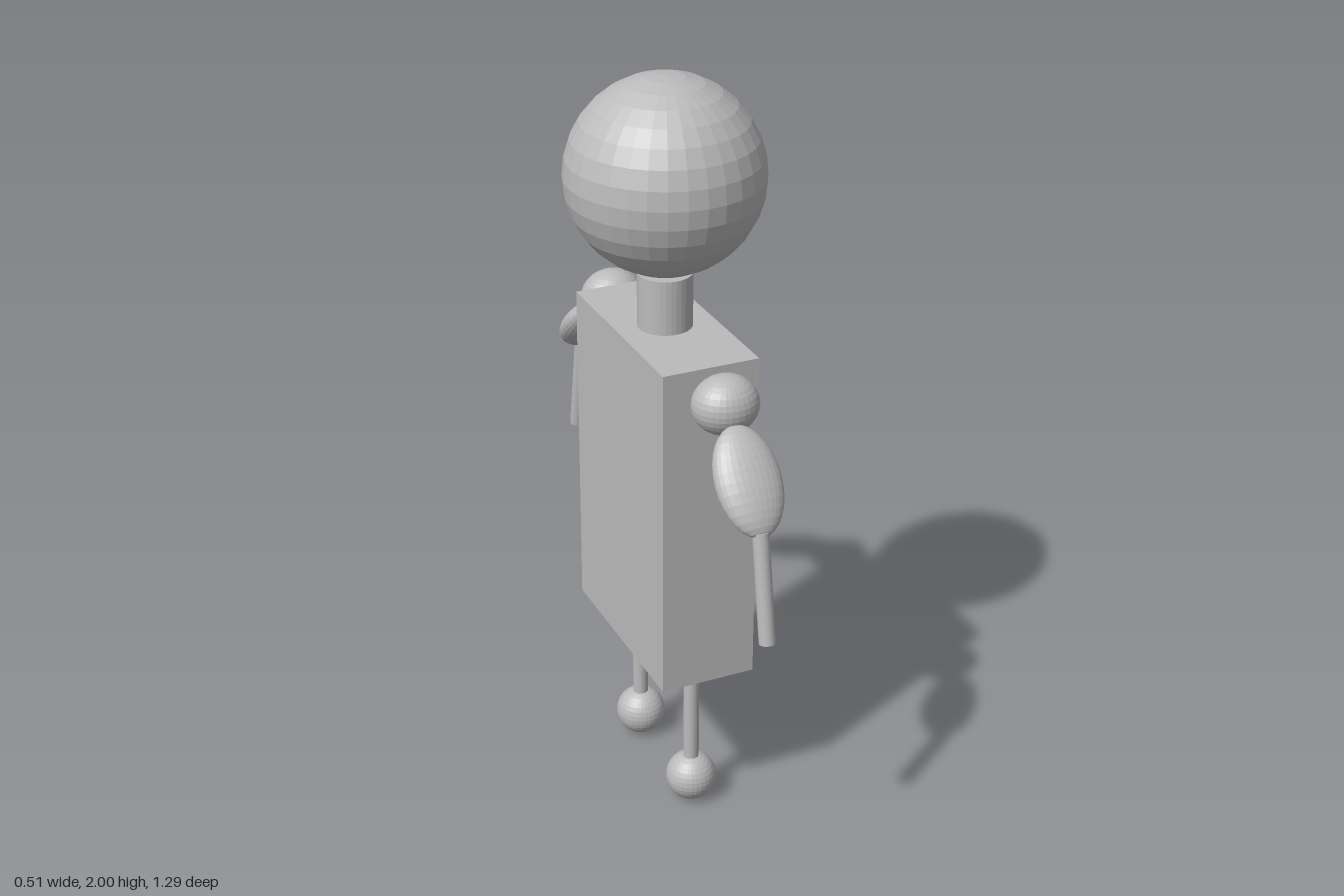
import * as THREE from 'three';

export function createModel() {
  const model = new THREE.Group();
  model.name = 'figure';
  const grey = new THREE.MeshStandardMaterial({ color: 0xbbbbbb, flatShading: true });
  grey.name = 'plain grey';

  const add = (name, geometry, x, y, z, parent = model) => {
    const mesh = new THREE.Mesh(geometry, grey);
    mesh.name = name;
    mesh.position.set(x, y, z);
    parent.add(mesh);
    return mesh;
  };
  const ball = (rx, ry, rz) => new THREE.SphereGeometry(1, 32, 16).scale(rx, ry, rz);

  // Straight round rod between two points
  const rod = (name, from, to, radius, parent) => {
    const a = new THREE.Vector3(...from), b = new THREE.Vector3(...to);
    const mid = a.clone().add(b).multiplyScalar(0.5);
    const mesh = add(name, new THREE.CylinderGeometry(radius, radius, a.distanceTo(b), 32), mid.x, mid.y, mid.z, parent);
    mesh.quaternion.setFromUnitVectors(new THREE.Vector3(0, 1, 0), a.sub(b).normalize());
  };

  // Head, neck and body
  add('head', ball(0.253, 0.253, 0.253), 0, 1.747, 0);
  rod('neck', [0, 1.49, 0], [0, 1.34, 0], 0.071);
  add('torso', new THREE.BoxGeometry(0.258, 0.91, 0.555), 0, 0.89, -0.001);

  // Arms, one on each broad end of the body, posed slightly differently
  const arms = [
    { name: 'frontArm', side: 1, shoulder: [0.004, 1.278, 0.348], upper: [-0.005, 1.142, 0.498], lean: 0.66,
      elbow: [-0.008, 1.045, 0.575], wrist: [-0.008, 0.759, 0.624] },
    { name: 'backArm', side: -1, shoulder: [0.004, 1.278, -0.353], upper: [0.003, 1.143, -0.503], lean: 0.785,
      elbow: [0.005, 1.055, -0.578], wrist: [0.005, 0.772, -0.627] },
  ];
  for (const arm of arms) {
    const group = new THREE.Group();
    group.name = arm.name;
    model.add(group);
    add('shoulder', ball(0.086, 0.076, 0.077), ...arm.shoulder, group);
    add('upperArm', ball(0.086, 0.14, 0.045), ...arm.upper, group).rotation.x = -arm.side * arm.lean;
    rod('forearm', arm.elbow, arm.wrist, 0.021, group);
  }

  // Thin legs ending in ball feet
  for (const [name, z] of [['frontLeg', 0.173], ['backLeg', -0.169]]) {
    const group = new THREE.Group();
    group.name = name;
    model.add(group);
    rod('shin', [0, 0.45, z], [0, 0.1, z], 0.021, group);
    add('foot', ball(0.068, 0.068, 0.068), 0, 0.068, z, group);
  }
  return model;
}
